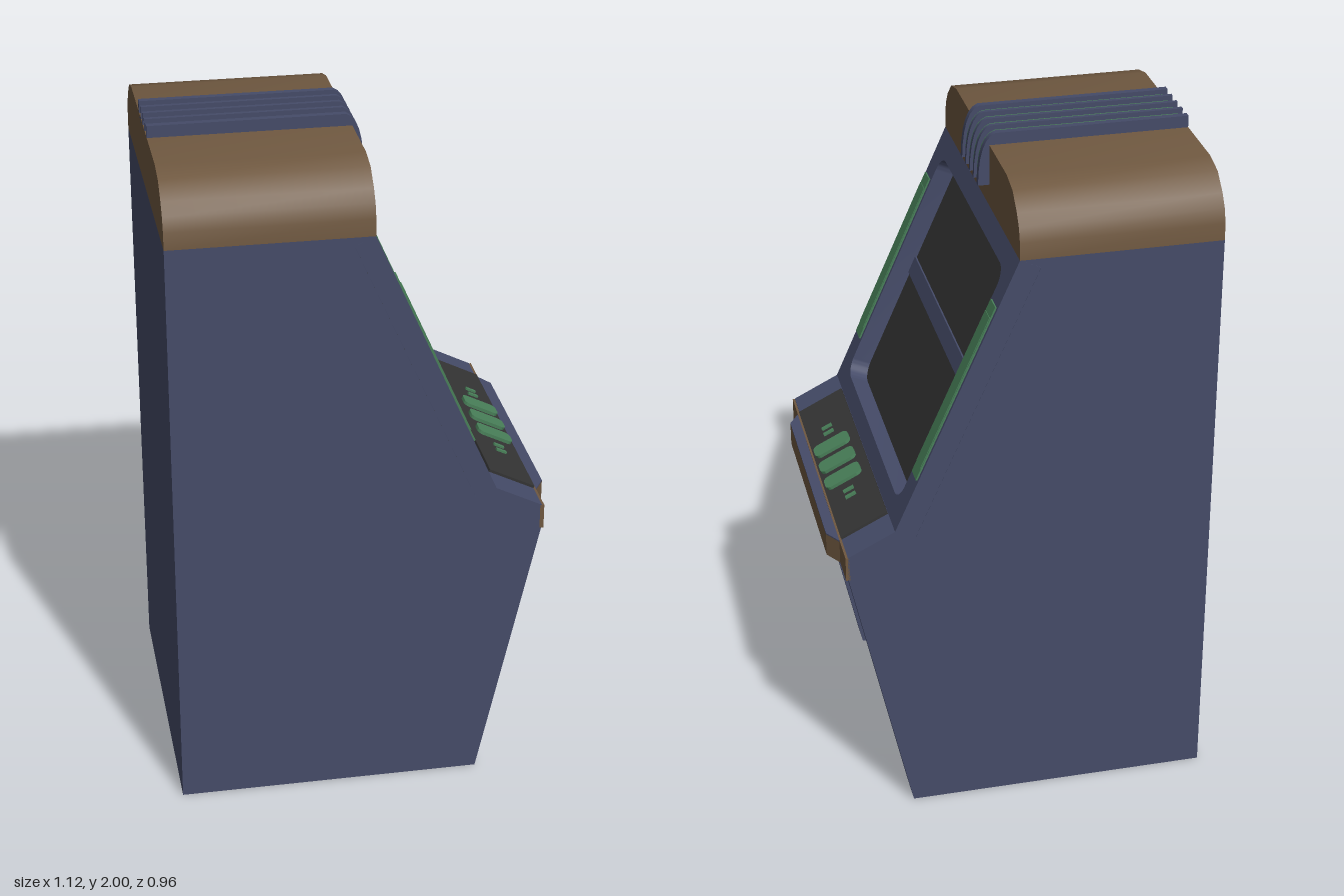
import * as THREE from 'three';
import { toCreasedNormals } from 'three/addons/utils/BufferGeometryUtils.js';

const material = (name, color) => {
  const m = new THREE.MeshStandardMaterial({ color });
  m.name = name;
  return m;
};

const polygon = (points) => new THREE.Shape(points.map(([x, y]) => new THREE.Vector2(x, y)));

function roundedRect(x, y, w, h, r, Type = THREE.Shape) {
  const s = new Type();
  s.moveTo(x + r, y);
  s.lineTo(x + w - r, y);
  s.absarc(x + w - r, y + r, r, -Math.PI / 2, 0);
  s.lineTo(x + w, y + h - r);
  s.absarc(x + w - r, y + h - r, r, 0, Math.PI / 2);
  s.lineTo(x + r, y + h);
  s.absarc(x + r, y + h - r, r, Math.PI / 2, Math.PI);
  s.lineTo(x, y + r);
  s.absarc(x + r, y + r, r, Math.PI, Math.PI * 1.5);
  return s;
}

const extrude = (shape, depth, curveSegments = 6) =>
  new THREE.ExtrudeGeometry(shape, { depth, curveSegments, bevelEnabled: false });

// Side profile (x, y) extruded across z, centred on zc
const acrossZ = (shape, width, zc = 0) => extrude(shape, width).translate(0, 0, zc - width / 2);

// Front outline (z, y) extruded along x
const alongX = (shape, x0, x1) => extrude(shape, x1 - x0).rotateY(Math.PI / 2).translate(x0, 0, 0);

// Group lying on a slope: local y runs up the slope, local z points out of it
function slopeGroup(name, [x0, y0], [x1, y1]) {
  const up = new THREE.Vector3(x1 - x0, y1 - y0, 0).normalize();
  const out = new THREE.Vector3(up.y, -up.x, 0);
  const g = new THREE.Group();
  g.name = name;
  g.quaternion.setFromRotationMatrix(
    new THREE.Matrix4().makeBasis(new THREE.Vector3(0, 0, -1), up, out));
  g.position.set(x0, y0, 0);
  return g;
}

export function createModel() {
  const navy = material('navy', 0x454b68);
  const brown = material('brown', 0x6f5840);
  const green = material('green', 0x498059);
  const black = material('black', 0x343434);

  const model = new THREE.Group();
  model.name = 'arcadeCabinet';
  const add = (name, geometry, mat, parent = model) => {
    const mesh = new THREE.Mesh(geometry, mat);
    mesh.name = name;
    parent.add(mesh);
    return mesh;
  };

  // Trunk, set back where the display frame goes
  add('cabinetBody', acrossZ(polygon([
    [-0.56, 0], [-0.02, 0], [-0.02, 0.82], [0.518, 0.82], [0.518, 0.896], [0.38, 0.965],
    [0.32, 0.939], [-0.04, 1.754], [0.02, 1.78], [-0.56, 1.78],
  ]), 0.96), navy);

  // Side walls around the leg space
  for (const [name, side] of [['leftLegWall', -1], ['rightLegWall', 1]]) {
    add(name, acrossZ(polygon([[-0.02, 0], [0.34, 0], [0.518, 0.82], [-0.02, 0.82]]), 0.1, side * 0.43), navy);
  }

  // Tapered hopper under the controls, with a recessed tray opening
  const hopperOutline = () => polygon([[-0.38, 0.82], [-0.38, 0.8], [-0.27, 0.655], [0.27, 0.655], [0.38, 0.8], [0.38, 0.82]]);
  const mouth = hopperOutline();
  mouth.holes.push(polygon([[-0.18, 0.795], [0.18, 0.795], [0.145, 0.67], [-0.145, 0.67]]));
  const mouthGeometry = alongX(mouth, 0.38, 0.505);
  const p = mouthGeometry.attributes.position;
  for (let i = 0; i < p.count; i++) {
    if (p.getX(i) > 0.45) p.setX(i, 0.505 + (p.getY(i) - 0.8) * 0.217);
  }
  mouthGeometry.computeVertexNormals();
  add('hopperMouth', mouthGeometry, navy);
  add('hopper', alongX(hopperOutline(), -0.02, 0.38), navy);

  // Display frame with recessed twin screens
  const display = slopeGroup('display', [0.38, 0.965], [0.02, 1.78]);
  model.add(display);
  const frame = polygon([[-0.48, 0], [0.48, 0], [0.48, 0.891], [-0.48, 0.891]]);
  frame.holes.push(roundedRect(-0.405, 0.06, 0.81, 0.765, 0.05, THREE.Path));
  add('displayFrame', toCreasedNormals(extrude(frame, 0.065).translate(0, 0, -0.065), 0.6), navy, display);
  add('screens', new THREE.BoxGeometry(0.84, 0.79, 0.008).translate(0, 0.4425, -0.062), black, display);
  add('screenDivider', new THREE.BoxGeometry(0.81, 0.055, 0.008).translate(0, 0.46, -0.056), navy, display);
  for (const side of [-1, 1]) {
    add('lightStrip', new THREE.BoxGeometry(0.055, 0.568, 0.006).translate(side * 0.443, 0.4535, 0.002), green, display);
    add('lightStripCover', new THREE.BoxGeometry(0.05, 0.495, 0.006).translate(side * 0.443, 0.455, 0.004), green, display);
  }

  // Control panel and buttons
  const controls = slopeGroup('controls', [0.518, 0.896], [0.38, 0.965]);
  model.add(controls);
  add('controlPlate', new THREE.BoxGeometry(0.756, 0.153, 0.01).translate(0, 0.077, 0.003), black, controls);
  for (const x of [-0.095, 0, 0.095]) {
    add('mainButton', toCreasedNormals(extrude(roundedRect(x - 0.03, 0.008, 0.06, 0.118, 0.018), 0.018), 0.6), green, controls);
  }
  for (const x of [-0.207, -0.173, 0.173, 0.207]) {
    add('smallButton', new THREE.BoxGeometry(0.012, 0.034, 0.012).translate(x, 0.07, 0.008), green, controls);
  }

  // Bumper band across the front with a chamfered middle
  add('frontBand', new THREE.BoxGeometry(0.012, 0.075, 0.96).translate(0.519, 0.8575, 0), brown);
  const bumper = polygon([[0.515, -0.38], [0.525, -0.38], [0.556, -0.33], [0.556, 0.33], [0.525, 0.38], [0.515, 0.38]]);
  const plan = (depth, y) => extrude(bumper, depth).rotateX(-Math.PI / 2).translate(0, y, 0);
  add('bumper', plan(0.07, 0.82), brown);
  add('bumperTop', plan(0.004, 0.89), navy);

  // Rounded hood
  const half = [[0.48, 1.78], [0.478, 1.83], [0.465, 1.87], [0.44, 1.905], [0.39, 1.948], [0.32, 1.965]];
  const hood = polygon([...half, ...half.map(([z, y]) => [-z, y]).reverse()]);
  add('hood', toCreasedNormals(alongX(hood, -0.56, 0.02), 0.6), brown);

  // Ribs folding over the front of the hood, with strips between them
  const ribProfile = (x0, x1, top, bottom) => {
    const s = new THREE.Shape();
    s.moveTo(x0, 1.95);
    s.lineTo(0.01, 1.95);
    s.lineTo(0.01, bottom);
    s.lineTo(x1, bottom);
    s.quadraticCurveTo(x1 - 0.002, top - 0.015, x1 - 0.05, top);
    s.lineTo(x0, top);
    return s;
  };
  add('hoodStrip', toCreasedNormals(acrossZ(ribProfile(-0.545, 0.044, 1.986, 1.85), 0.2), 0.6), green);
  for (const [z, w] of [[-0.103, 0.02], [-0.05, 0.013], [0, 0.013], [0.05, 0.013], [0.103, 0.02]]) {
    add('hoodRib', toCreasedNormals(acrossZ(ribProfile(-0.56, 0.053, 2, 1.845), w, z), 0.6), navy);
  }
  return model;
}
